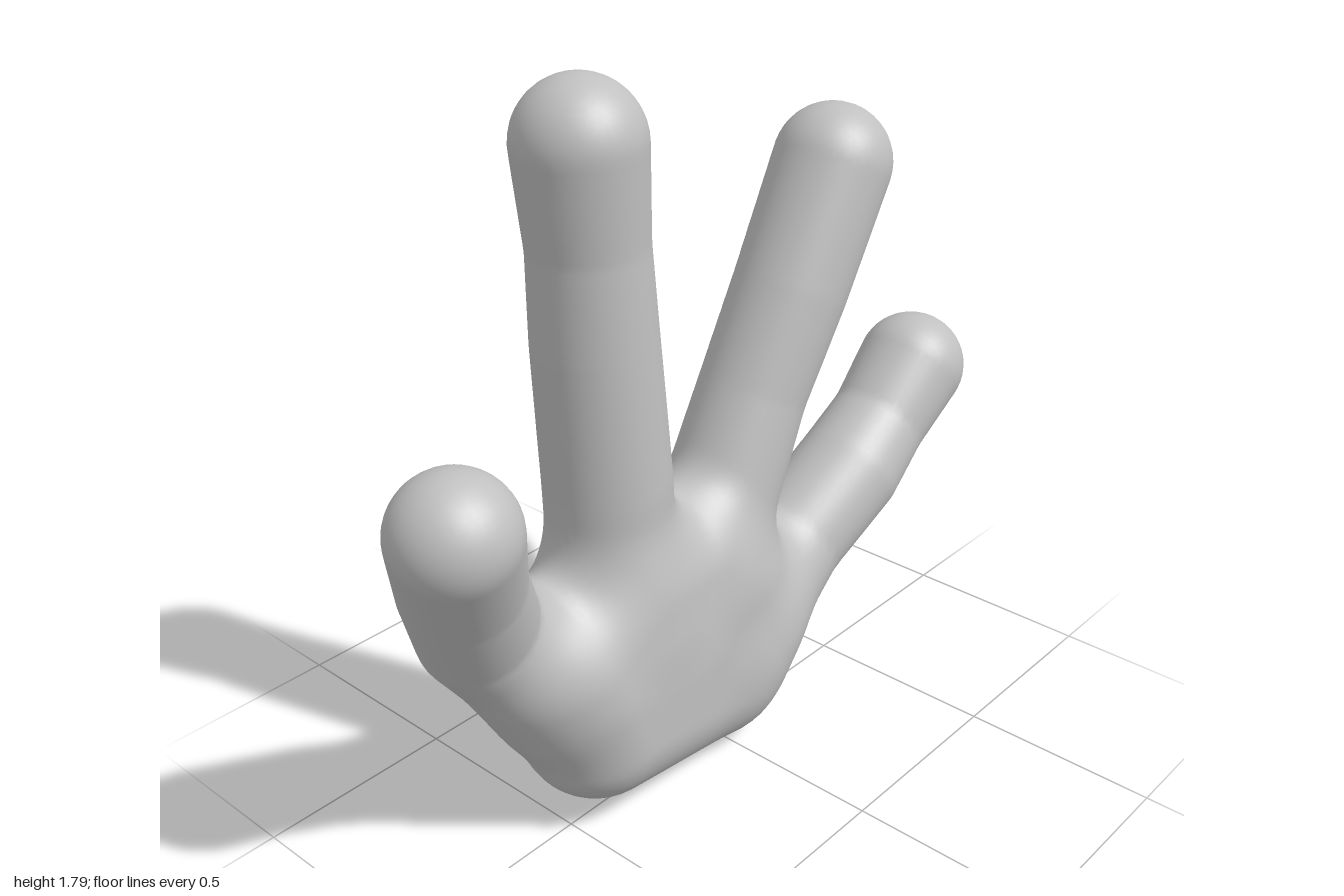
import * as THREE from 'three';
import { mergeVertices } from 'three/addons/utils/BufferGeometryUtils.js';

// Digits as chains of balls [x, y, z, radius], from base to tip
const digits = {
  thumb: [[-0.5, 0.4, -0.06, 0.15], [-0.69, 0.64, -0.06, 0.142], [-0.78, 0.82, 0.01, 0.138], [-0.86, 1.005, 0.1, 0.14]],
  tallFinger: [[-0.29, 0.5, -0.04, 0.15], [-0.3, 0.85, -0.04, 0.15], [-0.32, 1.2, -0.045, 0.143],
    [-0.33, 1.42, -0.045, 0.135], [-0.345, 1.645, -0.045, 0.146]],
  middleFinger: [[0.0, 0.5, -0.03, 0.15], [0.2, 0.9, -0.03, 0.137], [0.33, 1.14, -0.02, 0.143], [0.485, 1.42, -0.02, 0.148]],
  littleFinger: [[0.06, 0.25, -0.01, 0.17], [0.36, 0.42, -0.015, 0.14], [0.57, 0.55, 0.005, 0.143],
    [0.71, 0.64, 0, 0.132], [0.855, 0.76, 0, 0.146]],
};

// Flat core of the palm, which is rounded off on all sides
const palmCore = [[-0.38, 0.24], [0, 0.195], [0.07, 0.3], [0.04, 0.46], [-0.09, 0.58], [-0.3, 0.58], [-0.47, 0.48]];

const smoothMin = (a, b, k) => {
  const h = Math.max(k - Math.abs(a - b), 0) / k;
  return Math.min(a, b) - h * h * k / 4;
};

function digitDistance(chain, x, y, z) {
  let d = 9;
  for (let i = 1; i < chain.length; i++) {
    const [ax, ay, az, ar] = chain[i - 1], [bx, by, bz, br] = chain[i];
    const ux = bx - ax, uy = by - ay, uz = bz - az;
    const t = THREE.MathUtils.clamp(((x - ax) * ux + (y - ay) * uy + (z - az) * uz) / (ux * ux + uy * uy + uz * uz), 0, 1);
    const s = Math.hypot(x - ax - ux * t, y - ay - uy * t, z - az - uz * t) - ar - (br - ar) * t;
    d = i === 1 ? s : Math.min(d, s);
  }
  return d;
}

function palmDistance(x, y, z) {
  let edge = 9, inside = true;
  palmCore.forEach(([ax, ay], i) => {
    const [bx, by] = palmCore[(i + 1) % palmCore.length];
    const ux = bx - ax, uy = by - ay;
    const t = THREE.MathUtils.clamp(((x - ax) * ux + (y - ay) * uy) / (ux * ux + uy * uy), 0, 1);
    edge = Math.min(edge, Math.hypot(x - ax - ux * t, y - ay - uy * t));
    if (ux * (y - ay) - uy * (x - ax) < 0) inside = false;
  });
  // Thinner towards the knuckles
  const radius = 0.19 - 0.035 * THREE.MathUtils.smoothstep(y, 0.35, 0.7);
  return Math.hypot(inside ? 0 : edge, z + 0.025) - radius;
}

const partNames = ['palm', ...Object.keys(digits)];
const partDistances = (x, y, z) => [palmDistance(x, y, z), ...Object.values(digits).map((c) => digitDistance(c, x, y, z))];
const handDistance = (x, y, z) => partDistances(x, y, z).reduce((a, b) => smoothMin(a, b, 0.1));

function gradient(x, y, z) {
  const e = 0.012;
  return new THREE.Vector3(
    handDistance(x + e, y, z) - handDistance(x - e, y, z),
    handDistance(x, y + e, z) - handDistance(x, y - e, z),
    handDistance(x, y, z + e) - handDistance(x, y, z - e)).normalize();
}

// Skin the blended shape: one vertex per crossed grid cell, one quad per crossed grid edge
function buildSkin() {
  const step = 0.022, size = [96, 88, 27], origin = [-1.05, -0.06, -0.3];
  const stride = [1, size[0], size[0] * size[1]];
  const at = (i, j, k) => i + j * stride[1] + k * stride[2];
  const values = new Float32Array(size[0] * size[1] * size[2]);
  const eachPoint = (margin, visit) => {
    for (let k = margin; k < size[2] - margin; k++)
      for (let j = margin; j < size[1] - margin; j++)
        for (let i = margin; i < size[0] - margin; i++) visit(i, j, k);
  };
  eachPoint(0, (i, j, k) => {
    values[at(i, j, k)] = handDistance(origin[0] + i * step, origin[1] + j * step, origin[2] + k * step);
  });

  const positions = [], normals = [], owner = [], vertexOf = new Map();
  eachPoint(1, (i, j, k) => {
    const cell = at(i, j, k), sum = new THREE.Vector3();
    let count = 0;
    for (let c = 0; c < 8; c++) {
      const bits = [c & 1, (c >> 1) & 1, c >> 2];
      const p = cell + bits[0] + bits[1] * stride[1] + bits[2] * stride[2];
      for (let a = 0; a < 3; a++) {
        if (bits[a]) continue;
        const v0 = values[p], v1 = values[p + stride[a]];
        if ((v0 < 0) === (v1 < 0)) continue;
        const corner = [...bits];
        corner[a] = v0 / (v0 - v1);
        sum.add(new THREE.Vector3(...corner));
        count++;
      }
    }
    if (!count) return;
    const v = sum.divideScalar(count).add(new THREE.Vector3(i, j, k)).multiplyScalar(step).add(new THREE.Vector3(...origin));
    // Settle the vertex onto the exact surface
    for (let n = 0; n < 2; n++) v.addScaledVector(gradient(v.x, v.y, v.z), -handDistance(v.x, v.y, v.z));
    vertexOf.set(cell, owner.length);
    positions.push(...v);
    normals.push(...gradient(v.x, v.y, v.z));
    const near = partDistances(...v);
    owner.push(near.indexOf(Math.min(...near)));
  });

  const faces = partNames.map(() => []);
  eachPoint(2, (i, j, k) => {
    const p = at(i, j, k);
    for (let a = 0; a < 3; a++) {
      const solid = values[p] < 0;
      if (solid === (values[p + stride[a]] < 0)) continue;
      const b = stride[(a + 1) % 3], c = stride[(a + 2) % 3];
      const q = [p, p - b, p - b - c, p - c].map((cell) => vertexOf.get(cell));
      if (!solid) q.reverse();
      faces[owner[q[0]]].push(q[0], q[1], q[2], q[0], q[2], q[3]);
    }
  });
  return { positions, normals, faces };
}

export function createModel() {
  const hand = new THREE.Group();
  hand.name = 'hand';
  const skin = new THREE.MeshStandardMaterial({ color: 0xc0c0c0 });
  skin.name = 'plain grey';

  // One mesh for the palm and each digit, with normals that run on across the joins
  const { positions, normals, faces } = buildSkin();
  partNames.forEach((name, n) => {
    const shared = new THREE.BufferGeometry();
    shared.setAttribute('position', new THREE.Float32BufferAttribute(positions, 3));
    shared.setAttribute('normal', new THREE.Float32BufferAttribute(normals, 3));
    shared.setIndex(faces[n]);
    const mesh = new THREE.Mesh(mergeVertices(shared.toNonIndexed(), 1e-5), skin);
    mesh.name = name;
    hand.add(mesh);
  });

  // Stand on the ground
  hand.position.y = -new THREE.Box3().setFromObject(hand).min.y;
  return hand;
}
